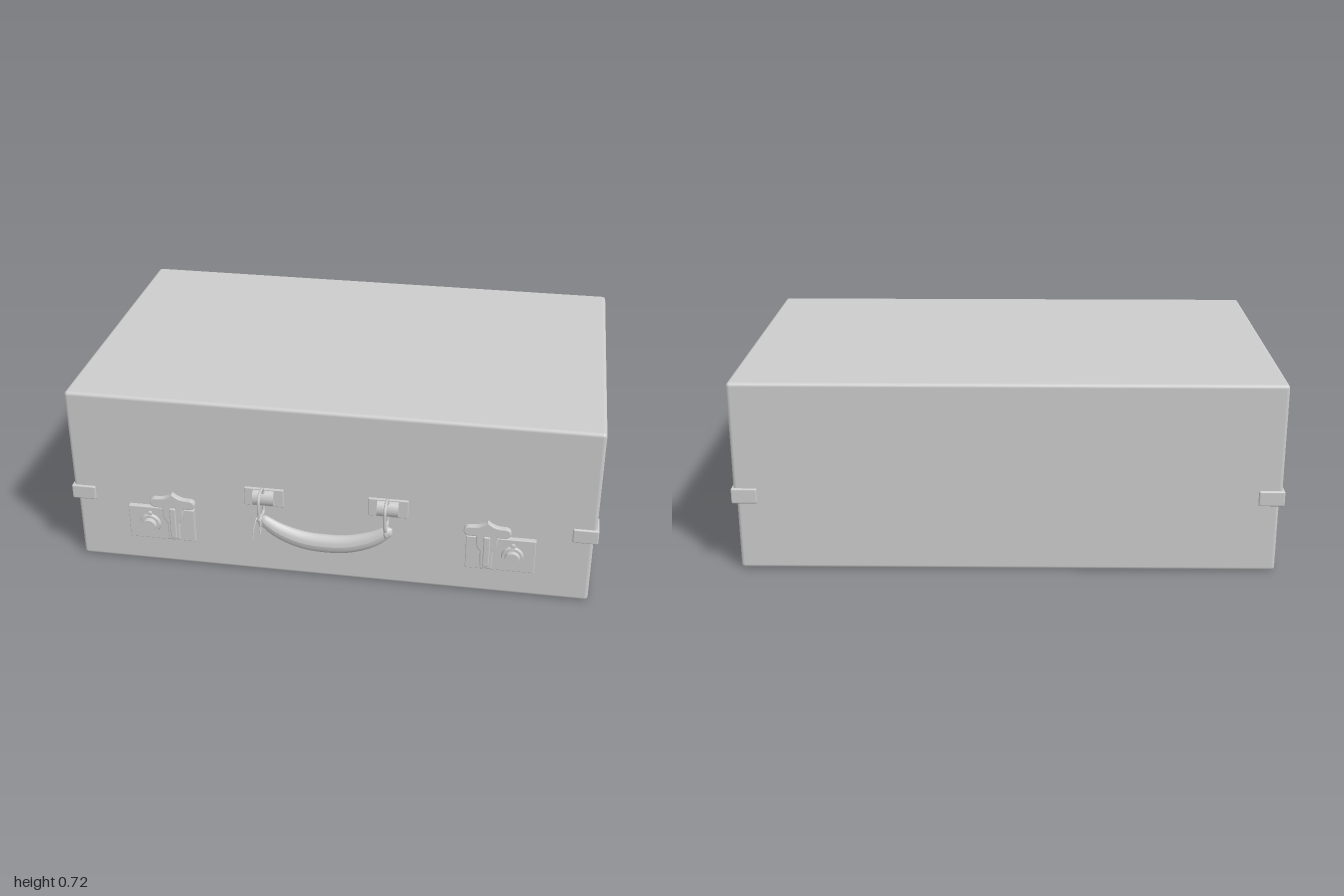
import * as THREE from 'three';
import { RoundedBoxGeometry } from 'three/addons/geometries/RoundedBoxGeometry.js';

const material = new THREE.MeshStandardMaterial({ color: 0xcccccc, roughness: 0.7, side: THREE.DoubleSide });
const FRONT = 0.555, BACK = -0.678, SEAM = 0.262;
const v = (x, y, z) => new THREE.Vector3(x, y, z);

function add(parent, name, geometry, x = 0, y = 0, z = 0) {
  const mesh = new THREE.Mesh(geometry, material);
  mesh.name = name;
  mesh.position.set(x, y, z);
  parent.add(mesh);
  return mesh;
}

// Box given by its limits, with rounded edges
function block(parent, name, x0, x1, y0, y1, z0, z1, r = 0.004) {
  const g = new RoundedBoxGeometry(x1 - x0, y1 - y0, z1 - z0, 3, r);
  return add(parent, name, g, (x0 + x1) / 2, (y0 + y1) / 2, (z0 + z1) / 2);
}

// Cylinder whose axis points forward
function disc(parent, name, r, depth, x, y, z, sides = 24) {
  return add(parent, name, new THREE.CylinderGeometry(r * 0.9, r, depth, sides).rotateX(Math.PI / 2), x, y, z + depth / 2);
}

function wire(parent, name, points, r, closed = false) {
  const curve = new THREE.CatmullRomCurve3(points, closed, 'catmullrom', 0.4);
  return add(parent, name, new THREE.TubeGeometry(curve, 48, r, 8, closed));
}

// Lid with rounded top edges and a sharp rim at the seam
function buildLid(parent) {
  const r = 0.014, lid = block(parent, 'lid', -0.991, 0.991, SEAM - r, 0.72, BACK, FRONT, r);
  const p = lid.geometry.attributes.position, rim = SEAM - lid.position.y;
  for (let i = 0; i < p.count; i++) p.setY(i, Math.max(p.getY(i), rim));
}

// Metal guard folded around a lower corner of the lid
function buildCornerGuard(parent, sx, front) {
  const guard = new THREE.Group();
  guard.name = 'cornerGuard';
  parent.add(guard);
  const t = 0.008, face = front ? FRONT : BACK, dir = front ? 1 : -1;
  const arm = (name, xa, xb, za, zb) => block(guard, name, Math.min(xa, xb), Math.max(xa, xb),
    SEAM + 0.002, SEAM + 0.06, Math.min(za, zb), Math.max(za, zb), 0.006);
  arm('guardFaceArm', sx * 0.905, sx * 0.999, face - dir * 0.012, face + dir * t);
  arm('guardSideArm', sx * 0.98, sx * 0.999, face - dir * 0.09, face + dir * t);
}

// Hasp outline: scalloped top plate narrowing to a flared tongue
function haspGeometry() {
  const s = new THREE.Shape();
  s.moveTo(-0.022, 0.13);
  s.lineTo(0.022, 0.13);
  s.lineTo(0.024, 0.205);
  s.quadraticCurveTo(0.04, 0.215, 0.04, 0.25);
  s.lineTo(0.04, 0.268);
  s.lineTo(0.065, 0.268);
  s.bezierCurveTo(0.095, 0.268, 0.095, 0.308, 0.065, 0.308);
  s.bezierCurveTo(0.04, 0.308, 0.022, 0.31, 0, 0.332);
  s.bezierCurveTo(-0.022, 0.31, -0.04, 0.308, -0.065, 0.308);
  s.bezierCurveTo(-0.095, 0.308, -0.095, 0.268, -0.065, 0.268);
  s.lineTo(-0.04, 0.268);
  s.lineTo(-0.04, 0.25);
  s.quadraticCurveTo(-0.04, 0.215, -0.024, 0.205);
  s.closePath();
  return new THREE.ExtrudeGeometry(s, {
    depth: 0.016, bevelEnabled: true, bevelThickness: 0.004, bevelSize: 0.004, bevelOffset: -0.004, bevelSegments: 2, curveSegments: 10,
  });
}

function buildLock(parent, s) {
  const lock = new THREE.Group();
  lock.name = s > 0 ? 'leftLock' : 'rightLock';
  parent.add(lock);
  const cx = s * 0.648, kx = s * 0.693, hx = s * 0.597;
  block(lock, 'lockPlate', cx - 0.129, cx + 0.129, 0.115, 0.255, 0.54, 0.566, 0.003);
  add(lock, 'hasp', haspGeometry(), hx, 0, 0.564);
  block(lock, 'haspRib', hx - 0.012, hx + 0.012, 0.14, 0.27, 0.58, 0.59);
  // Round button on a collar, with two rivets
  disc(lock, 'buttonCollar', 0.042, 0.014, kx, 0.185, 0.564);
  disc(lock, 'button', 0.03, 0.03, kx, 0.185, 0.566);
  for (const e of [-1, 1]) {
    disc(lock, 'buttonRivet', 0.01, 0.012, kx, 0.185 + e * 0.044, 0.564, 12);
  }
}

// Fixing plate with a raised sleeve that holds the handle loop
function buildHandleMount(parent, x) {
  const mount = new THREE.Group();
  mount.name = 'handleMount';
  parent.add(mount);
  block(mount, 'mountPlate', x - 0.075, x + 0.075, 0.306, 0.38, 0.55, 0.565, 0.003);
  const sleeve = add(mount, 'mountSleeve',
    new THREE.CylinderGeometry(0.032, 0.032, 0.08, 20).rotateZ(Math.PI / 2), x, 0.343, 0.563);
  sleeve.scale.z = 0.8;
  wire(mount, 'handleLoop', [
    v(x, 0.30, 0.575), v(x, 0.38, 0.575), v(x, 0.397, 0.595), v(x, 0.397, 0.63),
    v(x, 0.375, 0.65), v(x, 0.31, 0.65), v(x, 0.29, 0.635), v(x, 0.288, 0.595),
  ], 0.006, true);
  const eye = add(mount, 'handleEye', new THREE.TorusGeometry(0.02, 0.006, 8, 20), x, 0.275, 0.615);
  eye.rotation.y = Math.PI / 2;
}

// Sagging grip, thick in the middle and narrow at the ends
function buildGrip(parent) {
  const curve = new THREE.CatmullRomCurve3([
    v(-0.25, 0.287, 0.613), v(-0.18, 0.238, 0.614), v(-0.09, 0.206, 0.615), v(0, 0.198, 0.615),
    v(0.09, 0.206, 0.615), v(0.18, 0.238, 0.614), v(0.25, 0.287, 0.613),
  ]);
  const N = 48, R = 16, g = new THREE.TubeGeometry(curve, N, 1, R);
  const p = g.attributes.position;
  for (let i = 0; i <= N; i++) {
    const c = curve.getPointAt(i / N), u = Math.abs(2 * i / N - 1);
    const r = i % N ? 0.013 + 0.024 * Math.sqrt(1 - u * u) : 0;
    for (let j = 0; j <= R; j++) {
      const k = i * (R + 1) + j;
      p.setXYZ(k, c.x + (p.getX(k) - c.x) * r, c.y + (p.getY(k) - c.y) * r, c.z + (p.getZ(k) - c.z) * r * 0.72);
    }
  }
  g.computeVertexNormals();
  add(parent, 'grip', g);
}

export function createModel() {
  const model = new THREE.Group();
  model.name = 'suitcase';

  block(model, 'base', -0.983, 0.983, 0, SEAM + 0.02, BACK + 0.01, FRONT - 0.008, 0.014);
  buildLid(model);
  for (const sx of [-1, 1]) {
    for (const front of [true, false]) buildCornerGuard(model, sx, front);
    buildLock(model, sx);
  }

  const handle = new THREE.Group();
  handle.name = 'handle';
  model.add(handle);
  buildGrip(handle);
  for (const x of [-0.243, 0.227]) buildHandleMount(handle, x);

  // String tied to one loop, with two loose ends
  const knot = add(handle, 'stringKnot', new THREE.SphereGeometry(0.012, 12, 8), -0.243, 0.3, 0.645);
  knot.scale.y = 1.3;
  wire(handle, 'stringEnd', [v(-0.243, 0.3, 0.645), v(-0.25, 0.31, 0.66), v(-0.258, 0.275, 0.677), v(-0.262, 0.232, 0.686)], 0.003);
  wire(handle, 'stringEnd', [v(-0.243, 0.3, 0.645), v(-0.238, 0.3, 0.655), v(-0.236, 0.27, 0.659), v(-0.236, 0.248, 0.666)], 0.003);
  return model;
}
